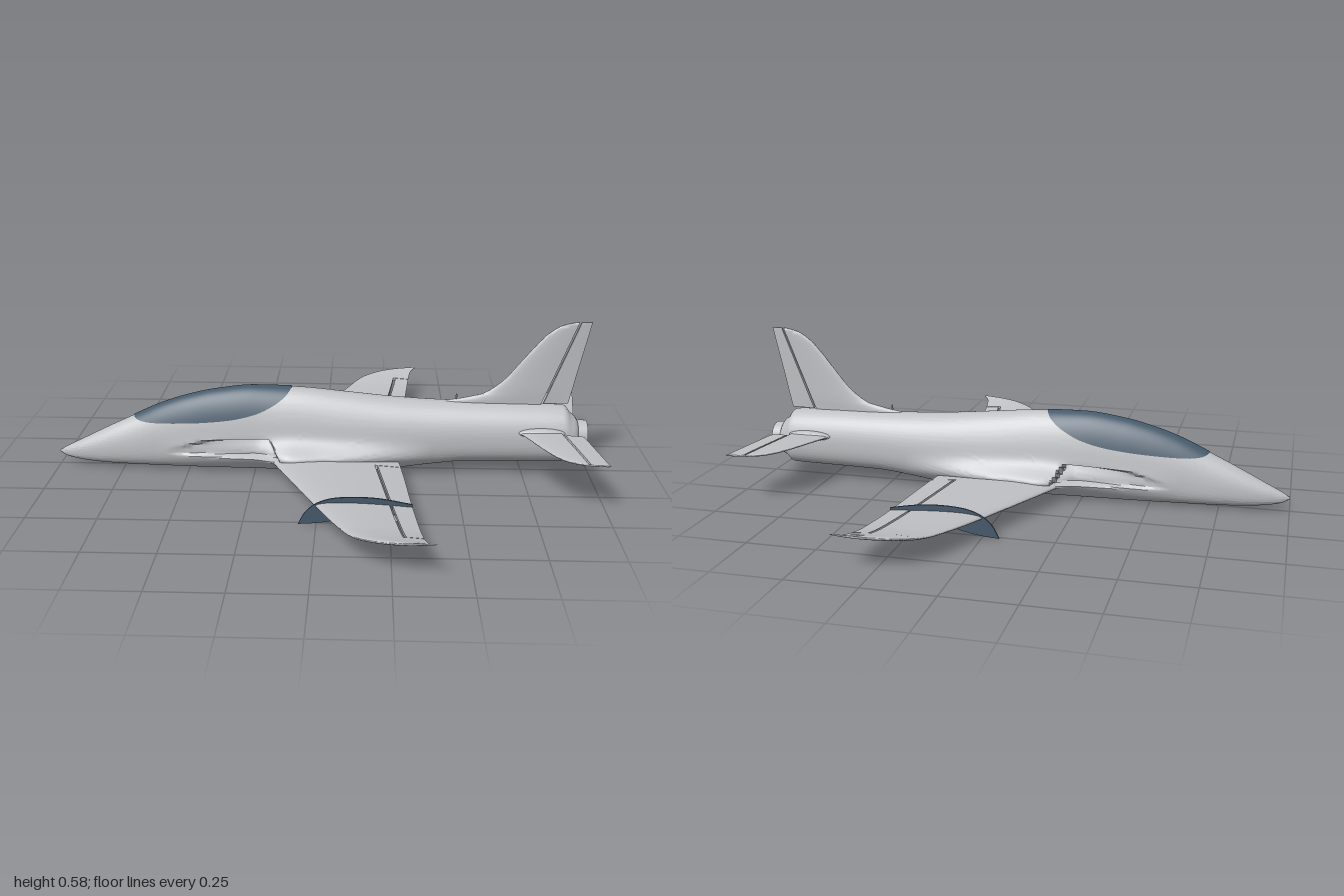
import * as THREE from 'three';
import { toCreasedNormals } from 'three/addons/utils/BufferGeometryUtils.js';

const grey = new THREE.MeshStandardMaterial({ color: 0xc0c1c4, side: THREE.DoubleSide });
grey.name = 'airframeGrey';
const slate = new THREE.MeshStandardMaterial({ color: 0x465a6b, side: THREE.DoubleSide });
slate.name = 'slateBlue';

const clamp = THREE.MathUtils.clamp;
const smooth = THREE.MathUtils.smoothstep;

// Smooth curve through table rows [t, ...values]; returns the value in one column
function at(rows, t, col) {
  const n = rows.length - 1;
  t = clamp(t, rows[0][0], rows[n][0]);
  let i = 0;
  while (i < n - 1 && t > rows[i + 1][0]) i++;
  const slope = (k) => (rows[k + 1][col] - rows[k][col]) / (rows[k + 1][0] - rows[k][0]);
  const tangent = (k) => {
    if (k === 0) return slope(0);
    if (k === n) return slope(n - 1);
    const a = slope(k - 1), b = slope(k);
    return a * b <= 0 ? 0 : (2 * a * b) / (a + b);
  };
  const d = rows[i + 1][0] - rows[i][0], u = (t - rows[i][0]) / d, u2 = u * u, u3 = u2 * u;
  return rows[i][col] * (2 * u3 - 3 * u2 + 1) + tangent(i) * d * (u3 - 2 * u2 + u)
    + rows[i + 1][col] * (3 * u2 - 2 * u3) + tangent(i + 1) * d * (u3 - u2);
}

// Skin over a list of rings; closed rings also get end caps
function loft(rings, closed = true, crease = 0.6) {
  const m = rings[0].length, pos = [], idx = [];
  rings.forEach((r) => r.forEach((p) => pos.push(...p)));
  for (let i = 0; i < rings.length - 1; i++) {
    for (let j = 0; j < (closed ? m : m - 1); j++) {
      const a = i * m + j, b = i * m + ((j + 1) % m), c = b + m, d = a + m;
      idx.push(a, b, c, a, c, d);
    }
  }
  if (closed) {
    [0, rings.length - 1].forEach((k) => {
      const base = k * m, centre = pos.length / 3;
      pos.push(...[0, 1, 2].map((c) => rings[k].reduce((s, p) => s + p[c], 0) / m));
      for (let j = 0; j < m; j++) {
        const a = base + j, b = base + ((j + 1) % m);
        idx.push(centre, ...(k ? [a, b] : [b, a]));
      }
    });
  }
  const g = new THREE.BufferGeometry();
  g.setAttribute('position', new THREE.Float32BufferAttribute(pos, 3));
  g.setIndex(idx);
  g.computeVertexNormals();
  return closed ? toCreasedNormals(g, crease) : g;
}

// Copy across the centreline with corner order kept outward
function mirrored(geometry) {
  const g = geometry.index ? geometry.toNonIndexed() : geometry.clone();
  g.scale(1, 1, -1);
  for (const name of ['position', 'normal']) {
    const a = g.getAttribute(name).array;
    for (let i = 0; i < a.length; i += 9) {
      for (let k = 0; k < 3; k++) [a[i + 3 + k], a[i + 6 + k]] = [a[i + 6 + k], a[i + 3 + k]];
    }
  }
  return g;
}

// Fuselage sections: x, bottom, top, widest height, half width
const body = [
  [-1, 0.048, 0.056, 0.052, 0.003], [-0.97, 0.033, 0.073, 0.053, 0.016], [-0.9, 0.02, 0.108, 0.062, 0.035],
  [-0.8, 0.012, 0.158, 0.075, 0.051], [-0.7, 0.009, 0.205, 0.085, 0.062], [-0.6, 0.007, 0.25, 0.095, 0.07],
  [-0.5, 0.005, 0.283, 0.1, 0.077], [-0.4, 0.004, 0.306, 0.105, 0.082], [-0.25, 0.003, 0.323, 0.11, 0.088],
  [-0.1, 0.002, 0.32, 0.12, 0.094], [0.1, 0.005, 0.302, 0.13, 0.098], [0.25, 0.012, 0.287, 0.14, 0.097],
  [0.4, 0.032, 0.277, 0.145, 0.094], [0.55, 0.047, 0.272, 0.152, 0.091], [0.75, 0.05, 0.267, 0.155, 0.088],
  [0.9, 0.052, 0.26, 0.155, 0.084], [0.92, 0.075, 0.235, 0.152, 0.078], [0.945, 0.085, 0.213, 0.15, 0.064],
  [0.95, 0.092, 0.203, 0.148, 0.056],
];
// Sideways swelling of the intake trunks and wing fillets
const swell = [[-0.62, 0], [-0.4, 0.012], [-0.25, 0.022], [-0.17, 0.055], [-0.1, 0.075],
  [0, 0.063], [0.15, 0.045], [0.28, 0.022], [0.42, 0]];
const channelTop = [[-0.6, 0.085], [-0.4, 0.135], [-0.2, 0.145]];

// Point on the fuselage skin, with the intake channel cut into the swelling
function skin(x, angle, lift = 0) {
  const [bottom, top, mid, width] = [1, 2, 3, 4].map((c) => at(body, x, c));
  const s = Math.sin(angle), c = Math.cos(angle), p = s < 0 ? 0.75 : 1;
  const y = mid + Math.sign(s) * Math.pow(Math.abs(s), p) * (s < 0 ? mid - bottom : top - mid);
  const roof = at(channelTop, x, 1), lip = -0.2 + (0.14 - y) * 0.6;
  const channel = 0.045 * clamp((x + 0.58) / 0.36, 0, 1) * (1 - smooth(x, lip, lip + 0.015))
    * smooth(y, 0.068, 0.078) * (1 - smooth(y, roof - 0.012, roof));
  const half = width + at(swell, x, 1) * Math.exp(-(((y - 0.08) / 0.042) ** 2)) - channel;
  return [x, y + lift * s, -Math.sign(c) * Math.pow(Math.abs(c), p) * half - lift * c];
}

// Airfoil panel along z; table rows: span, leading x, trailing x, thickness, height
function foil(table, s0, s1, from = () => -9, to = () => 9) {
  const rings = [], spans = 28, chord = 14;
  for (let i = 0; i <= spans; i++) {
    const z = s0 + (s1 - s0) * (1 - (1 - i / spans) ** 1.5);
    const [le, te, thick, y] = [1, 2, 3, 4].map((c) => at(table, z, c));
    const c0 = clamp((from(z) - le) / (te - le), 0, 0.97), c1 = clamp((to(z) - le) / (te - le), 0.02, 1);
    const point = (k, sign) => {
      const c = c0 + (c1 - c0) * (k / chord) ** 2;
      const h = 5 * thick * (0.2969 * Math.sqrt(c) - 0.126 * c - 0.3516 * c * c + 0.2843 * c ** 3 - 0.1 * c ** 4);
      return [le + (te - le) * c, y + sign * (h + 0.0006), z];
    };
    const ring = [];
    for (let k = chord; k >= 0; k--) ring.push(point(k, 1));
    for (let k = 0; k <= chord; k++) ring.push(point(k, -1));
    rings.push(ring);
  }
  return loft(rings);
}

const wing = [
  [0.05, -0.21, 0.28, 0.04, 0.065], [0.16, -0.16, 0.295, 0.036, 0.066], [0.52, 0, 0.325, 0.026, 0.072],
  [0.72, 0.09, 0.343, 0.02, 0.082], [0.78, 0.122, 0.349, 0.018, 0.09], [0.82, 0.155, 0.354, 0.015, 0.098],
  [0.86, 0.22, 0.362, 0.012, 0.108], [0.88, 0.285, 0.372, 0.008, 0.114], [0.89, 0.37, 0.385, 0.003, 0.12],
];
const tail = [
  [0.05, 0.71, 0.948, 0.017, 0.18], [0.1, 0.735, 0.955, 0.016, 0.18], [0.3, 0.82, 0.985, 0.012, 0.18],
  [0.34, 0.845, 0.991, 0.01, 0.18], [0.37, 0.88, 0.995, 0.008, 0.18], [0.385, 0.92, 0.998, 0.006, 0.18],
  [0.395, 0.985, 1, 0.003, 0.18],
];
const fin = [
  [0.25, 0.38, 0.907, 0.026, 0], [0.272, 0.42, 0.913, 0.025, 0], [0.285, 0.52, 0.916, 0.024, 0],
  [0.3, 0.59, 0.919, 0.023, 0], [0.33, 0.64, 0.926, 0.022, 0], [0.36, 0.675, 0.932, 0.02, 0],
  [0.42, 0.725, 0.945, 0.018, 0], [0.5, 0.79, 0.963, 0.015, 0], [0.54, 0.83, 0.972, 0.013, 0],
  [0.57, 0.88, 0.978, 0.01, 0], [0.58, 0.925, 0.981, 0.006, 0],
];

export function createModel() {
  const model = new THREE.Group();
  model.name = 'jetAircraft';
  const add = (name, geometry, material = grey) => {
    const mesh = new THREE.Mesh(geometry, material);
    mesh.name = name;
    model.add(mesh);
  };
  const pair = (name, geometry, material) => {
    add(name + 'Left', mirrored(geometry), material);
    add(name + 'Right', geometry, material);
  };

  // Fuselage
  const rings = [];
  for (let i = 0; i <= 220; i++) {
    const ring = [];
    for (let j = 0; j < 128; j++) ring.push(skin(-1 + (1.95 * i) / 220, (j / 128) * Math.PI * 2));
    rings.push(ring);
  }
  add('fuselage', loft(rings, true, 0.7));

  // Canopy follows the skin above its sill line
  const sill = [[-0.71, 0.203], [-0.7, 0.195], [-0.68, 0.189], [-0.64, 0.186], [-0.5, 0.192], [-0.35, 0.207],
    [-0.25, 0.23], [-0.18, 0.262], [-0.13, 0.298], [-0.11, 0.322]];
  const strips = [];
  for (let i = 0; i <= 80; i++) {
    const x = -0.71 + (0.6 * i) / 80, mid = at(body, x, 3);
    const a = Math.asin(clamp((at(sill, x, 1) - mid) / (at(body, x, 2) - mid), 0, 1));
    const strip = [];
    for (let j = 0; j <= 40; j++) strip.push(skin(x, a + ((Math.PI - 2 * a) * j) / 40, 0.003));
    strips.push(strip);
  }
  add('canopy', loft(strips, false), slate);

  // Exhaust nozzle
  const profile = [[0.057, 0.935], [0.053, 0.985], [0.046, 0.985], [0.038, 0.953], [0, 0.953]];
  const nozzle = new THREE.LatheGeometry(profile.map(([r, y]) => new THREE.Vector2(r, y)), 48);
  nozzle.rotateZ(-Math.PI / 2).translate(0, 0.148, 0);
  add('nozzle', toCreasedNormals(nozzle, 0.5));

  // Wings with separate flaps
  const wingHinge = (z) => 0.2 + (z - 0.16) * 0.133;
  pair('wingRoot', foil(wing, 0.05, 0.157));
  pair('wingPanel', foil(wing, 0.157, 0.8, undefined, wingHinge));
  pair('wingFlap', foil(wing, 0.16, 0.797, (z) => wingHinge(z) + 0.01));
  pair('wingTip', foil(wing, 0.8, 0.89));

  // Wing fences
  const shape = new THREE.Shape();
  shape.moveTo(-0.06, 0.005);
  shape.splineThru([[-0.035, 0.05], [0.01, 0.085], [0.08, 0.103], [0.2, 0.103], [0.325, 0.082]]
    .map((p) => new THREE.Vector2(...p)));
  shape.lineTo(0.325, 0.07);
  shape.lineTo(0.2, 0.06);
  shape.splineThru([[0.1, 0.03], [0.02, 0.012], [-0.06, 0.005]].map((p) => new THREE.Vector2(...p)));
  const fence = new THREE.ExtrudeGeometry(shape, { depth: 0.006, bevelEnabled: false, curveSegments: 24 });
  pair('wingFence', fence.translate(0, 0, 0.512), slate);
  pair('flapHorn', new THREE.BoxGeometry(0.025, 0.022, 0.006).translate(0.27, 0.062, 0.58));

  // Tailplanes with elevators and root fairings
  const tailHinge = (z) => 0.88 + (z - 0.1) * 0.16;
  pair('tailplane', foil(tail, 0.05, 0.395, undefined, tailHinge));
  pair('elevator', foil(tail, 0.115, 0.395, (z) => tailHinge(z) + 0.008));
  pair('tailFairing', new THREE.SphereGeometry(1, 24, 16).scale(0.085, 0.018, 0.025).translate(0.81, 0.18, 0.085));

  // Fin and rudder, built flat then stood upright
  const finHinge = (h) => 0.81 + (h - 0.26) * 0.387;
  add('fin', foil(fin, 0.25, 0.58, undefined, finHinge).rotateX(-Math.PI / 2));
  add('rudder', foil(fin, 0.268, 0.58, (h) => finHinge(h) + 0.008).rotateX(-Math.PI / 2));
  add('antenna', new THREE.CylinderGeometry(0.003, 0.003, 0.03, 10).translate(0.5, 0.285, 0));
  return model;
}
